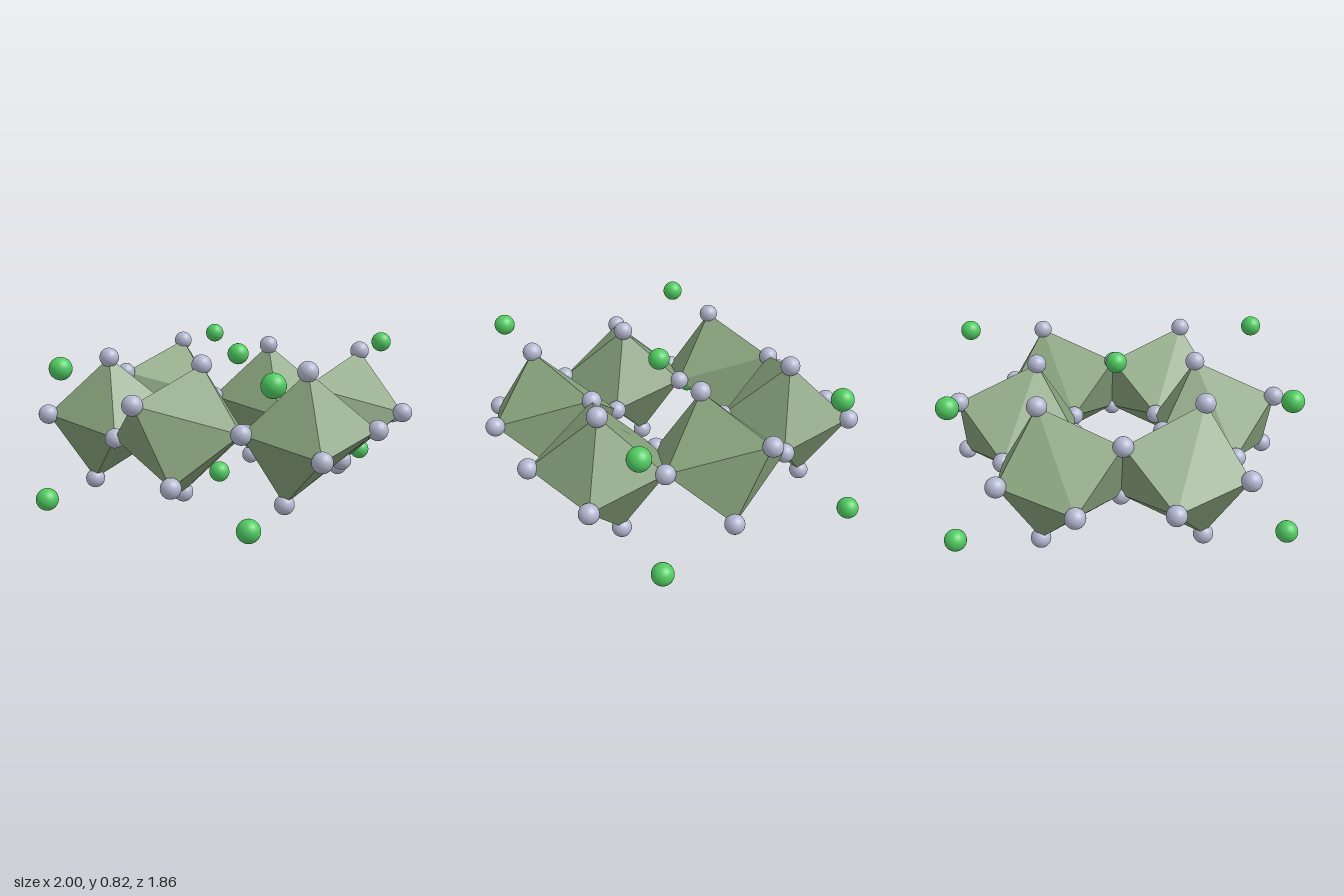
import * as THREE from 'three';
import { ConvexGeometry } from 'three/addons/geometries/ConvexGeometry.js';

const PX = 0.5775, PZ = 0.435, MID = 0.411; // lattice spacing and mid height

// Half of the eight corners of one polyhedron; the rest follow by a half turn about z
const HALF = [
  [-0.2125, 0.046, -0.193],
  [-0.3675, -0.046, 0.192],
  [-0.104, 0.196, 0.435],
  [0.0575, 0.349, 0.0095],
];

export function createModel() {
  const group = new THREE.Group();
  group.name = 'crystalStructure';

  const sage = new THREE.MeshStandardMaterial({ color: 0x859f79, flatShading: true });
  sage.name = 'sage polyhedron';
  const grey = new THREE.MeshStandardMaterial({ color: 0xb4b8d0 });
  grey.name = 'lavender grey';
  const green = new THREE.MeshStandardMaterial({ color: 0x4fcb60 });
  green.name = 'bright green';

  const add = (geometry, material, name, position) => {
    const mesh = new THREE.Mesh(geometry, material);
    mesh.name = name;
    if (position) mesh.position.copy(position);
    group.add(mesh);
  };

  // Six polyhedra, alternately mirrored in z, sharing corners
  const corners = [];
  for (const row of [-1, 1]) {
    for (const col of [-1, 0, 1]) {
      const flip = (col === 0 ? 1 : -1) * row;
      const points = [];
      for (const [x, y, z] of HALF) {
        for (const s of [1, -1]) {
          points.push(new THREE.Vector3(col * PX + s * x, MID + s * y, row * PZ + flip * z));
        }
      }
      add(new ConvexGeometry(points), sage, 'polyhedron');
      for (const p of points) {
        if (!corners.some((q) => q.distanceTo(p) < 0.02)) corners.push(p);
      }
    }
  }

  // Grey atoms on every shared corner
  const cornerBall = new THREE.SphereGeometry(0.053, 32, 20);
  for (const p of corners) add(cornerBall, grey, 'cornerAtom', p);

  // Green atoms in pairs, above and below the gaps
  const freeBall = new THREE.SphereGeometry(0.059, 32, 20);
  for (const [i, j] of [[-1, -1], [1, -1], [0, 0], [-1, 1], [1, 1]]) {
    for (const s of [1, -1]) {
      add(freeBall, green, 'freeAtom',
        new THREE.Vector3(i * PX + s * 0.0595, MID + s * 0.35, j * 2 * PZ));
    }
  }
  return group;
}
